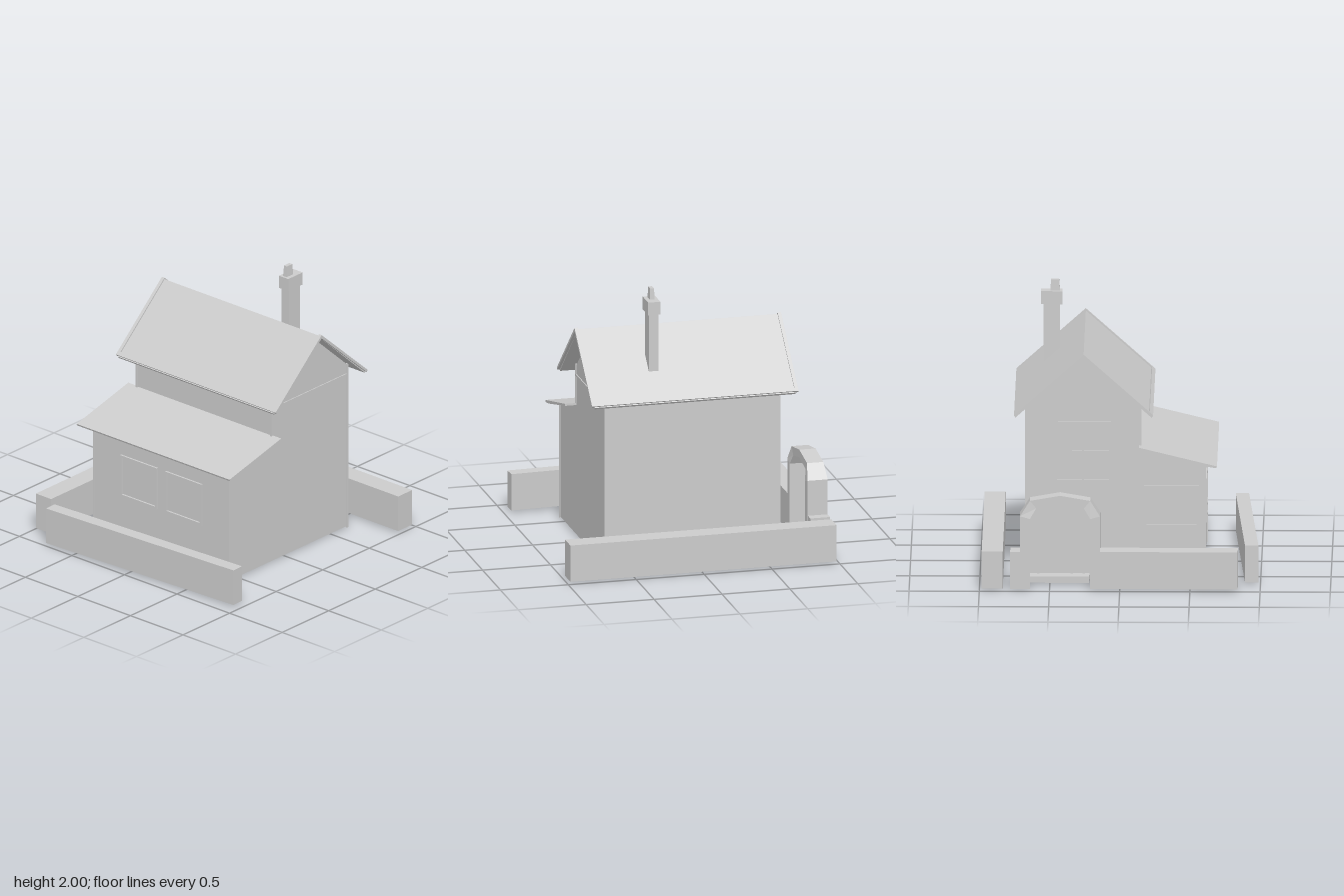
import * as THREE from 'three';

const material = new THREE.MeshStandardMaterial({ color: 0xcccccc, flatShading: true });

export function createModel() {
  const house = new THREE.Group();
  house.name = 'house';

  function add(name, geometry, parent = house) {
    const mesh = new THREE.Mesh(geometry, material);
    mesh.name = name;
    parent.add(mesh);
    return mesh;
  }

  // Box given by its limits on each axis
  function box(name, x0, x1, y0, y1, z0, z1, parent) {
    const mesh = add(name, new THREE.BoxGeometry(x1 - x0, y1 - y0, z1 - z0), parent);
    mesh.position.set((x0 + x1) / 2, (y0 + y1) / 2, (z0 + z1) / 2);
    return mesh;
  }

  // Outline in x and y, extruded from z0 to z1
  function extrude(name, points, z0, z1, parent) {
    const shape = new THREE.Shape(points.map(([x, y]) => new THREE.Vector2(x, y)));
    const geometry = new THREE.ExtrudeGeometry(shape, { depth: z1 - z0, bevelEnabled: false });
    geometry.translate(0, 0, z0);
    return add(name, geometry, parent);
  }

  // Frame with bars, centred at the origin and standing out along +z
  function makeWindow(name, w, h, bars) {
    const g = new THREE.Group();
    const t = 0.016, d = 0.014;
    g.name = name;
    for (const s of [-1, 1]) {
      box('frameSide', s * (w - t) / 2 - t / 2, s * (w - t) / 2 + t / 2, -h / 2, h / 2, -0.005, d, g);
      box('frameRail', -w / 2, w / 2, s * (h - t) / 2 - t / 2, s * (h - t) / 2 + t / 2, -0.005, d, g);
    }
    if (bars) {
      box('verticalBar', -t / 2, t / 2, -h / 2, h / 2, -0.005, d * 0.8, g);
      box('crossBar', -w / 2, w / 2, -t / 2, t / 2, -0.005, d * 0.8, g);
    }
    house.add(g);
    return g;
  }

  // Walls: tall gabled part with a lean-to on the right
  const Z = 0.64;
  extrude('walls', [[-0.6, 0.01], [0.67, 0.01], [0.67, 1.27], [0.265, 1.635],
    [-0.14, 1.27], [-0.14, 0.975], [-0.6, 0.855]], -Z, Z);

  // Corner posts and the bands under the gables
  for (const s of [-1, 1]) {
    const z0 = s * Z - 0.007, z1 = s * Z + 0.007;
    box('cornerPost', 0.66, 0.677, 0, 1.28, z0, z1);
    box('cornerPost', -0.61, -0.593, 0, 0.85, z0, z1);
    box('upperPost', -0.15, -0.135, 0.98, 1.28, z0, z1);
    box('gableBand', -0.14, 0.67, 1.19, 1.205, z0, z1);
  }
  box('sideBand', 0.66, 0.676, 1.19, 1.205, -Z, Z);

  // Main roof: thin folded sheet with raised verges and eaves
  function chevron(top, thickness) {
    return [[-0.235, 1.235 + top], [-0.225, 1.222 + top], [0.26, 1.675 + top - thickness],
      [0.745, 1.222 + top], [0.755, 1.235 + top], [0.26, 1.675 + top]];
  }
  extrude('roof', chevron(-0.012, 0.014), -0.74, 0.74);
  for (const s of [-1, 1]) {
    extrude('verge', chevron(0, 0.026), s * 0.7475 - 0.0125, s * 0.7475 + 0.0125);
    extrude('eaveTrim', [[0.26 + s * 0.495, 1.235], [0.26 + s * 0.485, 1.222],
      [0.26 + s * 0.462, 1.243], [0.26 + s * 0.472, 1.256]], -0.745, 0.745);
  }

  // Lean-to roof
  extrude('leanToRoof', [[-0.69, 0.855], [-0.685, 0.842], [-0.6, 0.855], [-0.135, 0.975],
    [-0.135, 0.99]], -0.73, 0.725);

  // Chimney with cap and tapered pot
  box('chimney', 0.44, 0.555, 1.39, 1.83, 0.22, 0.29);
  box('chimneyCap', 0.42, 0.575, 1.825, 1.92, 0.21, 0.3);
  const pot = add('chimneyPot', new THREE.CylinderGeometry(0.04, 0.05, 0.085, 4, 1).rotateY(Math.PI / 4));
  pot.scale.z = 0.5;
  pot.position.set(0.473, 1.9575, 0.252);

  // Windows on the entrance side
  const upper = makeWindow('upperWindow', 0.4, 0.44, true);
  upper.position.set(0.265, 0.945, -Z);
  const lower = makeWindow('lowerWindow', 0.39, 0.3, false);
  lower.position.set(-0.365, 0.545, -Z);
  for (const w of [upper, lower]) w.rotation.y = Math.PI;

  // Lean-to side windows
  for (const z of [-0.21, 0.215]) {
    const side = makeWindow('sideWindow', 0.35, 0.32, false);
    side.position.set(-0.6, 0.53, z);
    side.rotation.y = -Math.PI / 2;
  }

  // Door with frame, upright bar and step
  for (const x of [0.25, 0.335, 0.575]) box('doorUpright', x, x + 0.018, 0.04, 0.58, -0.655, -0.63);
  box('doorHead', 0.25, 0.593, 0.565, 0.585, -0.655, -0.63);
  box('door', 0.353, 0.575, 0.04, 0.565, -0.645, -0.63);
  box('doorStep', 0.22, 0.65, 0.01, 0.055, -0.76, -0.63);

  // Garden walls
  box('leftGardenWall', 0.833, 0.983, 0.015, 0.285, -0.98, 0.98);
  const wall = box('rightGardenWall', -0.0475, 0.0475, 0.015, 0.285, -0.855, 0.855);
  wall.position.x = -0.895;
  wall.position.z = 0.093;
  wall.rotation.y = 0.0495;
  box('entranceWall', -0.84, 0.15, 0.015, 0.285, -0.985, -0.84);
  box('entranceWallEnd', 0.7, 0.78, 0.015, 0.285, -0.985, -0.84);

  // Arch: rectangular sections swept from pier to pier, slimmer at the crown
  // Each section: outer x, outer y, inner x, inner y, half depth
  const half = [[0.285, 0.015, 0.215, 0.015, 0.074], [0.285, 0.545, 0.215, 0.525, 0.074],
    [0.215, 0.655, 0.17, 0.6, 0.06], [0, 0.692, 0, 0.635, 0.06]];
  const sections = half.concat(half.slice(0, 3).reverse().map(([a, b, c, d, e]) => [-a, b, -c, d, e]));
  const positions = [];
  const rings = sections.map(([ox, oy, ix, iy, d]) =>
    [[ox, oy, d], [ox, oy, -d], [ix, iy, -d], [ix, iy, d]]);
  const quad = (a, b, c, d) => positions.push(...a, ...b, ...c, ...a, ...c, ...d);
  for (let i = 0; i < rings.length - 1; i++) {
    for (let k = 0; k < 4; k++) {
      const n = (k + 1) % 4;
      quad(rings[i][k], rings[i][n], rings[i + 1][n], rings[i + 1][k]);
    }
  }
  const last = rings[rings.length - 1];
  quad(rings[0][3], rings[0][2], rings[0][1], rings[0][0]);
  quad(last[0], last[1], last[2], last[3]);
  const archGeometry = new THREE.BufferGeometry();
  archGeometry.setAttribute('position', new THREE.Float32BufferAttribute(positions, 3));
  archGeometry.computeVertexNormals();
  add('gardenArch', archGeometry).position.set(0.425, 0, -0.912);

  return house;
}
